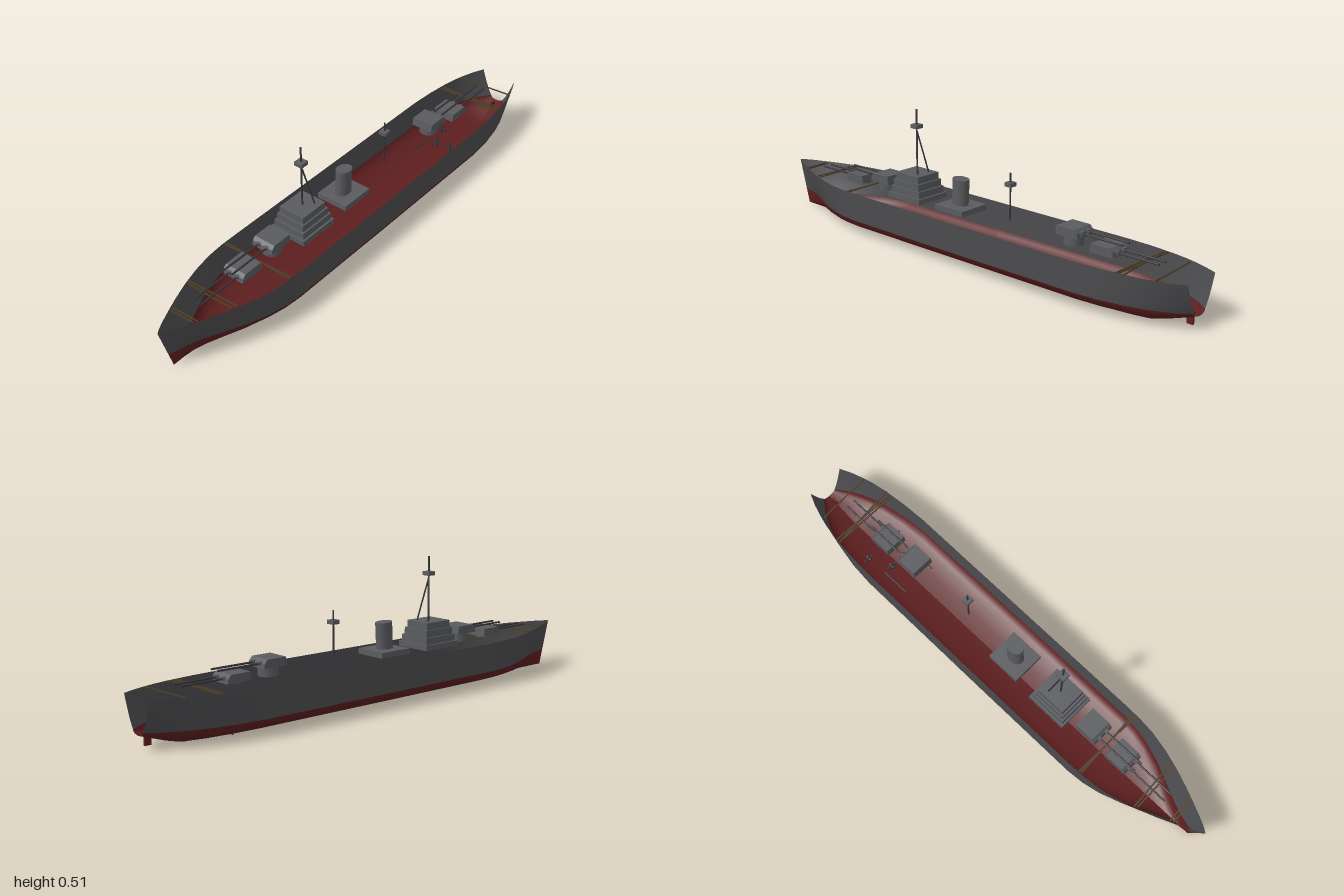
import * as THREE from 'three';

const mat = (name, color, double) => {
  const m = new THREE.MeshStandardMaterial({ color });
  m.name = name;
  if (double) m.side = THREE.DoubleSide;
  return m;
};

export function createModel() {
  const ship = new THREE.Group();
  ship.name = 'warship';
  const hullGrey = mat('hullGrey', 0x4c4c4f, true);
  const hullRed = mat('hullRed', 0x5e1e1f, true);
  const grey = mat('superstructureGrey', 0x5a5b5f);
  const dark = mat('gunMetal', 0x36363a);
  const wood = mat('deckWood', 0x4a3b22, true);

  const add = (name, geo, material, x = 0, y = 0, z = 0, parent = ship) => {
    const m = new THREE.Mesh(geo, material);
    m.name = name;
    m.position.set(x, y, z);
    parent.add(m);
    return m;
  };
  const box = (name, w, h, d, material, x, y, z, parent) =>
    add(name, new THREE.BoxGeometry(w, h, d), material, x, y, z, parent);
  // round bar between two points
  const rod = (name, a, b, r, material, parent) => {
    const p = new THREE.Vector3(...a), q = new THREE.Vector3(...b);
    const m = add(name, new THREE.CylinderGeometry(r, r, p.distanceTo(q), 10), material, 0, 0, 0, parent);
    m.position.copy(p).add(q).multiplyScalar(0.5);
    m.quaternion.setFromUnitVectors(new THREE.Vector3(0, 1, 0), q.sub(p).normalize());
    return m;
  };

  // Hull stations: z, half beam at rail, half beam at waterline, keel height, rail height
  const stations = [
    [-1, 0.078, 0.03, 0.045, 0.171], [-0.95, 0.1, 0.066, 0.028, 0.171],
    [-0.9, 0.116, 0.092, 0.011, 0.171], [-0.86, 0.127, 0.108, 0.001, 0.171],
    [-0.8, 0.138, 0.126, 0, 0.171], [-0.7, 0.149, 0.145, 0, 0.171],
    [-0.6, 0.154, 0.153, 0, 0.171], [0, 0.154, 0.154, 0, 0.171],
    [0.48, 0.154, 0.153, 0, 0.171], [0.55, 0.152, 0.147, 0, 0.172],
    [0.62, 0.145, 0.132, 0, 0.173], [0.7, 0.127, 0.104, 0, 0.175],
    [0.77, 0.105, 0.074, 0, 0.177], [0.84, 0.078, 0.045, 0, 0.179],
    [0.9, 0.052, 0.024, 0, 0.18], [0.95, 0.029, 0.011, 0, 0.181],
    [0.985, 0.011, 0.004, 0, 0.181], [1, 0, 0, 0, 0.181],
  ];
  const WATER = 0.06;
  const bilge = [[0, 0], [0.33, 0.1], [0.65, 0.28], [0.85, 0.5], [0.96, 0.75], [1, 1]];
  const lowerHalf = ([, , w, k]) => bilge.map(([u, v]) => [w * u, k + (WATER - k) * v]);
  const upperHalf = ([, t, w, , top]) => [0, 0.25, 0.5, 0.75, 1].map(
    (v) => [w + (t - w) * Math.pow(v, 0.8), WATER + (top - WATER) * v]);

  // Skin through the half sections of one side, with a raked stem
  const skin = (half, side) => {
    const pos = [], idx = [];
    let n = 0;
    stations.forEach((s) => {
      const pts = half(s);
      n = pts.length;
      const rake = 0.05 * THREE.MathUtils.smoothstep(s[0], 0.7, 1);
      pts.forEach(([x, y]) => pos.push(side * x, y, s[0] - rake * Math.max(0, 1 - y / 0.18)));
    });
    for (let i = 0; i < stations.length - 1; i++) {
      for (let j = 0; j < n - 1; j++) {
        const a = i * n + j, b = a + 1, c = a + n, d = c + 1;
        if (side > 0) idx.push(a, b, c, b, d, c);
        else idx.push(a, c, b, b, c, d);
      }
    }
    const g = new THREE.BufferGeometry();
    g.setAttribute('position', new THREE.Float32BufferAttribute(pos, 3));
    g.setIndex(idx);
    g.computeVertexNormals();
    return g;
  };
  for (const s of [1, -1]) {
    add(s > 0 ? 'leftLowerHull' : 'rightLowerHull', skin(lowerHalf, s), hullRed);
    add(s > 0 ? 'leftUpperHull' : 'rightUpperHull', skin(upperHalf, s), hullGrey);
  }

  // Narrow deck planks across the open hull: x1, z1, x2, z2
  [
    [-0.15, 0.535, 0.15, 0.52], [-0.15, 0.525, 0.15, 0.53],
    [-0.108, 0.755, 0.108, 0.742], [-0.1, 0.765, 0.1, 0.762],
    [-0.054, 0.88, 0.056, 0.875], [-0.05, 0.893, 0.05, 0.888],
    [-0.138, -0.765, 0.14, -0.795], [-0.14, -0.78, 0.14, -0.775], [-0.14, -0.765, 0.14, -0.765],
    [-0.11, -0.885, 0.115, -0.9],
  ].forEach(([x1, z1, x2, z2]) => {
    const m = box('deckPlank', Math.hypot(x2 - x1, z2 - z1), 0.003, 0.006, wood,
      (x1 + x2) / 2, z1 > 0.6 ? 0.175 : 0.169, (z1 + z2) / 2);
    m.rotation.y = -Math.atan2(z2 - z1, x2 - x1);
  });

  // Twin gun turrets: z, floor height, facing, barrel tip distance
  const turret = (name, z, y, facing, reach) => {
    const g = new THREE.Group();
    g.name = name;
    g.position.set(0, y, z);
    if (facing < 0) g.rotation.y = Math.PI;
    ship.add(g);
    const profile = new THREE.Shape([[-0.048, 0], [0.05, 0], [0.046, 0.018], [0.034, 0.031], [-0.044, 0.031]]
      .map(([a, b]) => new THREE.Vector2(a, b)));
    const body = new THREE.ExtrudeGeometry(profile, { depth: 0.09, bevelEnabled: false });
    body.translate(0, 0, -0.045).rotateY(-Math.PI / 2);
    add('gunHouse', body, grey, 0, 0, 0, g);
    const drop = y - 0.165;
    add('barbette', new THREE.CylinderGeometry(0.036, 0.036, drop, 24), grey, 0, -drop / 2, 0, g);
    for (const x of [-0.018, 0.018]) {
      rod('barrel', [x, 0.015, 0.03], [x, 0.015, reach], 0.0038, dark, g);
      box('gunPort', 0.014, 0.014, 0.014, grey, x, 0.015, 0.046, g);
    }
  };
  turret('forwardTurret', 0.6, 0.173, 1, 0.22);
  turret('forwardUpperTurret', 0.452, 0.2, 1, 0.22);
  turret('aftUpperTurret', -0.485, 0.2, -1, 0.22);
  turret('aftTurret', -0.635, 0.17, -1, 0.215);

  // Stepped bridge
  [[0.15, 0.168, 0.166, 0.187], [0.134, 0.152, 0.187, 0.213],
    [0.121, 0.136, 0.213, 0.24], [0.109, 0.12, 0.24, 0.267]].forEach(([w, d, y0, y1]) =>
    box('bridgeTier', w, y1 - y0, d, grey, 0, (y0 + y1) / 2, 0.285));

  // Tripod mast with lookout
  rod('mainMast', [0, 0.26, 0.285], [0, 0.514, 0.285], 0.0035, dark);
  for (const x of [-0.03, 0.03]) rod('mastLeg', [x, 0.265, 0.253], [0, 0.43, 0.284], 0.003, dark);
  box('lookout', 0.034, 0.015, 0.034, grey, 0, 0.448, 0.285);

  // Aft mast
  rod('aftMast', [0, 0.18, -0.192], [0, 0.358, -0.192], 0.0033, dark);
  box('aftLookout', 0.032, 0.015, 0.03, grey, 0, 0.316, -0.192);

  // Funnel, oval and slightly raked
  box('funnelBase', 0.132, 0.021, 0.14, grey, 0, 0.1765, 0.054);
  const funnel = new THREE.CylinderGeometry(1, 1, 0.103, 28);
  funnel.scale(0.027, 1, 0.035);
  add('funnel', funnel, grey, 0, 0.236, 0.054).rotation.x = -0.05;

  // Propellers and shafts
  for (const s of [-1, 1]) {
    for (const [x, z] of [[0.073, -0.69], [0.032, -0.6]]) {
      box('propellerBlade', 0.046, 0.006, 0.005, dark, s * x, 0.03, z);
      box('propellerBlade', 0.006, 0.046, 0.005, dark, s * x, 0.03, z);
      rod('propellerHub', [s * x, 0.03, z - 0.012], [s * x, 0.03, z + 0.012], 0.005, dark);
    }
    rod('propellerShaft', [s * 0.071, 0.03, -0.6], [s * 0.071, 0.03, -0.48], 0.003, dark);
  }

  // Rudder
  box('rudder', 0.008, 0.045, 0.024, hullRed, 0, 0.031, -0.967);

  return ship;
}
